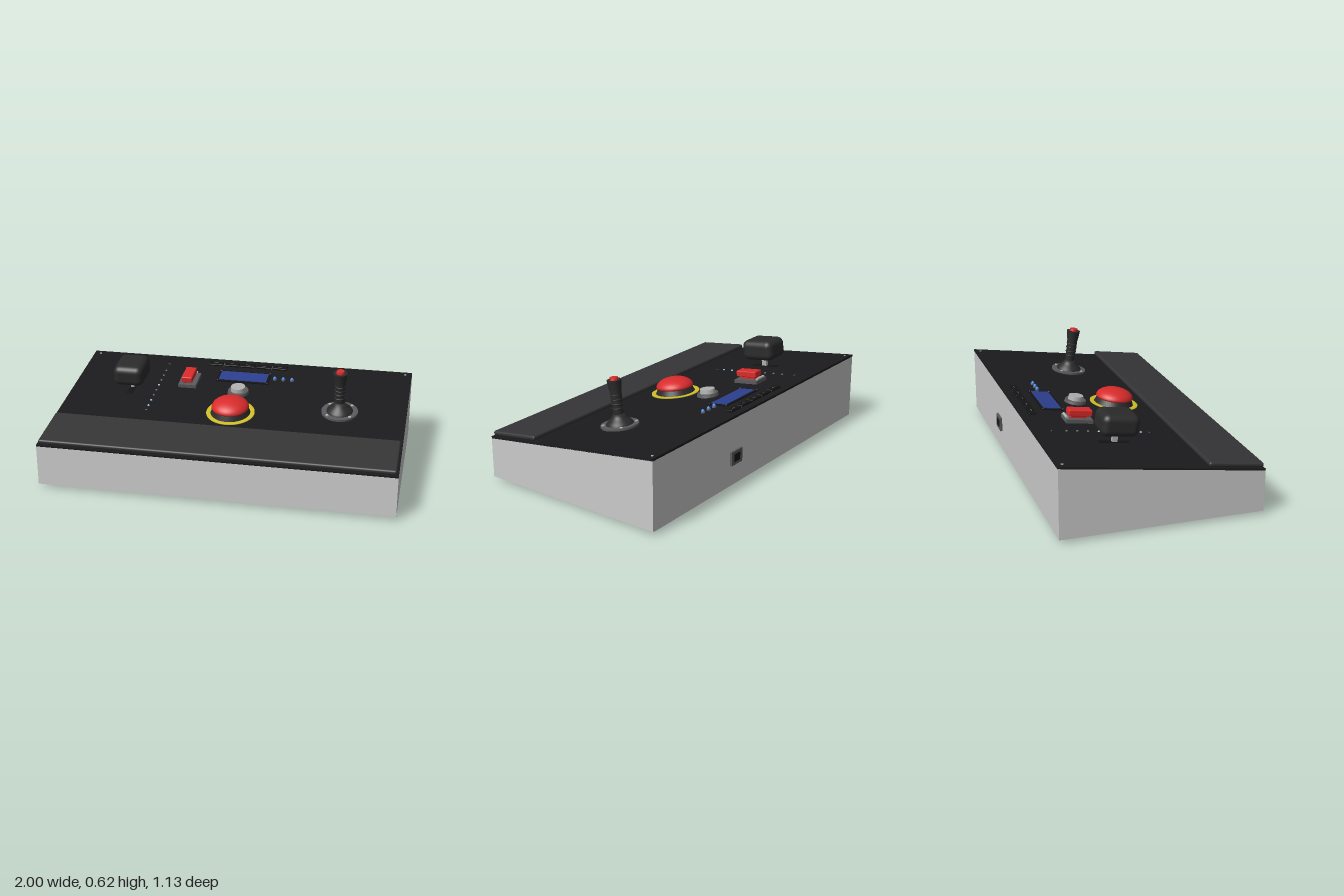
import * as THREE from 'three';
import { RoundedBoxGeometry } from 'three/addons/geometries/RoundedBoxGeometry.js';

const SLOPE = 0.1396; // tilt of the control panel

function mat(color) {
  return new THREE.MeshStandardMaterial({ color });
}
const M = {
  grey: mat(0xcccccc), panel: mat(0x1b1b1d), rest: mat(0x353537), black: mat(0x151515),
  rubber: mat(0x2b2b2b), plate: mat(0x5a5a5c), metal: mat(0xb0b0b0), red: mat(0xd92b2b),
  yellow: mat(0xd2c02a), screen: mat(0x2c3f8f), blue: mat(0x3f86f0), paleBlue: mat(0x8fc4e8),
  white: mat(0xe6e6e6), dim: mat(0x66666a), green: mat(0x3fae4f),
};

function add(parent, name, geometry, material, x = 0, y = 0, z = 0) {
  const mesh = new THREE.Mesh(geometry, material);
  mesh.name = name;
  mesh.position.set(x, y, z);
  parent.add(mesh);
  return mesh;
}
const box = (w, h, d) => new THREE.BoxGeometry(w, h, d);
const rbox = (w, h, d, r) => new RoundedBoxGeometry(w, h, d, 4, r);
const cyl = (top, bottom, h, n = 32) => new THREE.CylinderGeometry(top, bottom, h, n);
const dome = (r) => new THREE.SphereGeometry(r, 16, 8, 0, Math.PI * 2, 0, Math.PI / 2);
const lathe = (pts, n = 40) => new THREE.LatheGeometry(pts.map(([r, y]) => new THREE.Vector2(r, y)), n);

function group(parent, name, x, y, z) {
  const g = new THREE.Group();
  g.name = name;
  g.position.set(x, y, z);
  parent.add(g);
  return g;
}

// Wedge housing, feet and rear socket
function buildHousing(root) {
  const side = new THREE.Shape();
  side.moveTo(-0.565, 0.02);
  side.lineTo(0.552, 0.02);
  side.lineTo(0.552, 0.407);
  side.lineTo(-0.565, 0.25);
  const wedge = new THREE.ExtrudeGeometry(side, { depth: 2, bevelEnabled: false });
  wedge.rotateY(Math.PI / 2).translate(-1, 0, 0);
  add(root, 'housing', wedge, M.grey);

  for (const x of [-0.9, 0.9])
    for (const z of [0.47, -0.453]) add(root, 'foot', cyl(0.04, 0.04, 0.022), M.rubber, x, 0.011, z);

  const socket = group(root, 'rearSocket', 0.28, 0.18, -0.552);
  add(socket, 'socketPlate', box(0.1, 0.08, 0.024), M.plate);
  add(socket, 'socketInset', box(0.055, 0.045, 0.004), M.black, 0, 0, -0.0115);
}

// Throttle lever: slot, stem and chunky handle
function buildThrottle(panel) {
  const g = group(panel, 'throttle', -0.64, 0, -0.147);
  add(g, 'slot', box(0.035, 0.003, 0.17), M.black, 0, 0.001, 0);
  add(g, 'stem', box(0.02, 0.07, 0.03), M.metal, 0, 0.035, 0);
  add(g, 'handle', rbox(0.18, 0.122, 0.208, 0.038), M.rubber, 0, 0.113, 0);
  // Level lights beside the lever
  const lights = [M.dim, M.dim, M.dim, M.white, M.dim, M.dim, M.paleBlue, M.paleBlue];
  lights.forEach((m, i) => add(panel, 'levelLight', dome(0.007), m, -0.49, 0, -0.365 + i * 0.0605));
  for (const z of [-0.45, 0.108]) add(panel, 'levelTick', box(0.018, 0.002, 0.004), M.dim, -0.49, 0.001, z);
}

// Guarded switch
function buildSwitch(panel) {
  const g = group(panel, 'guardedSwitch', -0.315, 0, -0.255);
  add(g, 'switchPlate', box(0.108, 0.02, 0.155), M.plate, 0, 0.01, 0);
  add(g, 'switchLever', box(0.045, 0.03, 0.09), M.red, 0, 0.03, 0);
  add(g, 'switchGuard', rbox(0.065, 0.036, 0.135, 0.006), M.red, 0, 0.05, 0.007);
  add(g, 'guardHinge', cyl(0.008, 0.008, 0.07, 16), M.metal, 0, 0.026, -0.07).rotation.z = Math.PI / 2;
}

// Screen with bezel, key row and status lights
function buildDisplay(panel) {
  const g = group(panel, 'display', 0, 0, -0.348);
  add(g, 'bezel', box(0.32, 0.006, 0.13), M.black, 0, 0.003, 0);
  add(g, 'screen', box(0.29, 0.003, 0.103), M.screen, 0, 0.0075, 0);
  for (const x of [-0.152, 0.152])
    for (const z of [-0.058, 0.058]) add(g, 'bezelScrew', cyl(0.004, 0.004, 0.003, 12), M.dim, x, 0.007, z);

  for (let i = 0; i < 5; i++) {
    const x = (i - 2) * 0.1;
    add(panel, 'key', rbox(0.09, 0.012, 0.04, 0.004), M.black, x, 0.006, -0.488);
    add(panel, 'keyMark', box(0.025, 0.001, 0.004), i ? M.dim : M.green, x, 0.0125, -0.488);
  }
  for (const x of [-0.15, 0.15]) add(panel, 'keyDivider', box(0.004, 0.004, 0.036), M.dim, x, 0.002, -0.488);

  for (const x of [0.19, 0.242, 0.295]) {
    add(panel, 'lightCollar', cyl(0.012, 0.012, 0.008, 16), M.dim, x, 0.004, -0.35);
    const lamp = add(panel, 'statusLight', dome(0.01), M.blue, x, 0.008, -0.35);
    lamp.scale.y = 1.4;
  }
}

// Large stop button and the small metal push button
function buildButtons(panel) {
  const stop = group(panel, 'stopButton', 0, 0, 0.064);
  add(stop, 'warningRing', lathe([[0.115, 0], [0.14, 0], [0.14, 0.005], [0.115, 0.005], [0.115, 0]], 64), M.yellow);
  add(stop, 'stopCollar', cyl(0.1, 0.115, 0.034, 48), M.rubber, 0, 0.017, 0);
  const cap = [[0.001, 0.032], [0.1, 0.032], [0.108, 0.038]];
  for (let i = 1; i <= 14; i++) {
    const a = (i / 14) * Math.PI / 2;
    cap.push([0.108 * Math.cos(a), 0.038 + 0.054 * Math.sin(a)]);
  }
  add(stop, 'stopCap', lathe(cap, 48), M.red);

  const push = group(panel, 'pushButton', 0, 0, -0.171);
  add(push, 'pushRing', cyl(0.06, 0.064, 0.016, 40), M.plate, 0, 0.008, 0);
  add(push, 'pushCap', cyl(0.042, 0.045, 0.026, 40), M.metal, 0, 0.027, 0);
}

// Joystick: flange with screws, rubber boot, ribbed grip and red thumb button
function buildJoystick(panel) {
  const g = group(panel, 'joystick', 0.62, 0, -0.031);
  add(g, 'flange', cyl(0.105, 0.105, 0.012, 48), M.plate, 0, 0.006, 0);
  for (let i = 0; i < 4; i++) {
    const a = Math.PI / 4 + i * Math.PI / 2;
    add(g, 'flangeScrew', cyl(0.009, 0.009, 0.006, 12), M.metal, 0.091 * Math.cos(a), 0.013, 0.091 * Math.sin(a));
  }
  add(g, 'boot', lathe([[0.076, 0.012], [0.072, 0.022], [0.055, 0.036], [0.04, 0.052], [0.03, 0.068], [0.001, 0.07]]), M.rubber);
  add(g, 'grip', cyl(0.032, 0.027, 0.145), M.rubber, 0, 0.135, 0);
  for (let i = 0; i < 4; i++) {
    const rib = add(g, 'gripRib', new THREE.TorusGeometry(0.029, 0.004, 8, 32), M.rubber, 0, 0.1 + i * 0.025, 0);
    rib.rotation.x = Math.PI / 2;
  }
  add(g, 'gripHead', cyl(0.04, 0.034, 0.053), M.rubber, 0, 0.231, 0);
  add(g, 'thumbButton', cyl(0.022, 0.025, 0.015), M.red, 0, 0.264, 0);
}

export function createModel() {
  const root = new THREE.Group();
  root.name = 'controlConsole';
  buildHousing(root);

  // Tilted panel; everything on it is placed in the panel's own plane
  const panel = group(root, 'controlPanel', 0, 0.339, 0);
  panel.rotation.x = SLOPE;
  add(panel, 'panelPlate', box(2, 0.012, 1.128), M.panel, 0, -0.006, 0.007);
  add(panel, 'palmRest', rbox(1.98, 0.026, 0.31, 0.011), M.rest, 0, 0.015, 0.409);
  for (const x of [-0.96, 0.96]) add(panel, 'cornerScrew', cyl(0.007, 0.007, 0.003, 12), M.metal, x, 0.001, -0.525);

  buildThrottle(panel);
  buildSwitch(panel);
  buildDisplay(panel);
  buildButtons(panel);
  buildJoystick(panel);
  return root;
}
